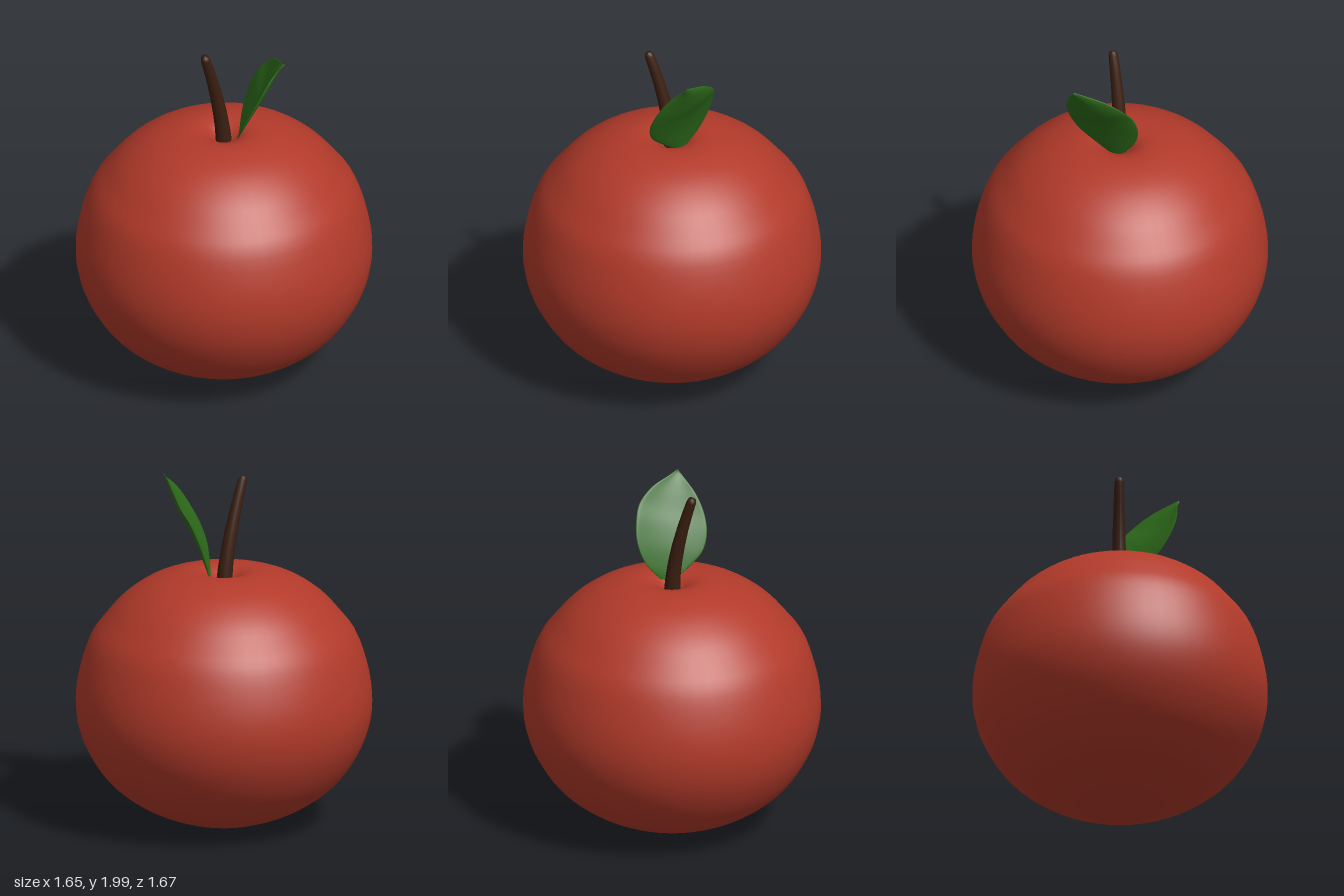
import * as THREE from 'three';
import { ParametricGeometry } from 'three/addons/geometries/ParametricGeometry.js';

const paint = (color) => new THREE.MeshStandardMaterial({ color, roughness: 0.8 });
const part = (name, geometry, color) => {
  const mesh = new THREE.Mesh(geometry, paint(color));
  mesh.name = name;
  return mesh;
};
const spline = (points) => new THREE.CatmullRomCurve3(points.map((p) => new THREE.Vector3(...p)));

// Round fruit body with a shallow dimple on top
function bodyGeometry() {
  const profile = new THREE.SplineCurve([
    [0, 0], [0.2, 0.025], [0.41, 0.1], [0.57, 0.2], [0.68, 0.31], [0.77, 0.46],
    [0.815, 0.6], [0.826, 0.74], [0.803, 0.9], [0.745, 1.08], [0.66, 1.2], [0.56, 1.31],
    [0.43, 1.4], [0.3, 1.45], [0.19, 1.467], [0.11, 1.45], [0.05, 1.41], [0, 1.4],
  ].map(([r, y]) => new THREE.Vector2(r, y)));
  const points = profile.getPoints(54);
  points[0].x = points[54].x = 0;
  return new THREE.LatheGeometry(points, 56).scale(1, 1, 1.01);
}

// Tapered stem, bent forward towards its rounded tip
function stemGeometry() {
  const profile = [[0.046, 0], [0.042, 0.1], [0.039, 0.2], [0.036, 0.3], [0.032, 0.4],
    [0.029, 0.5], [0.026, 0.58], [0.019, 0.6], [0, 0.606]].map(([r, y]) => new THREE.Vector2(r, y));
  const geometry = new THREE.LatheGeometry(profile, 16);
  const pos = geometry.attributes.position;
  for (let i = 0; i < pos.count; i++) {
    const t = pos.getY(i) / 0.606;
    const z = pos.getZ(i);
    pos.setXYZ(i, pos.getX(i) - 0.028 * t, 1.385 + pos.getY(i) - 0.35 * t * z, z + 0.137 * t ** 1.6);
  }
  geometry.computeVertexNormals();
  return geometry;
}

// Cupped leaf: lens-shaped cross-sections swept between its two edges
function leafGeometry() {
  const back = spline([[0.05, 1.42, -0.07], [0.0, 1.53, -0.155], [0.0, 1.66, -0.212],
    [0.05, 1.78, -0.236], [0.11, 1.85, -0.24], [0.2, 1.92, -0.2], [0.29, 1.96, -0.14], [0.35, 1.985, -0.105]]);
  const front = spline([[0.07, 1.42, -0.03], [0.14, 1.49, 0.04], [0.21, 1.57, 0.1],
    [0.26, 1.66, 0.107], [0.3, 1.76, 0.075], [0.324, 1.86, 0.015], [0.336, 1.93, -0.05], [0.357, 1.975, -0.105]]);
  const inner = new THREE.Vector3(-0.66, 0.44, 0.6).normalize();
  const a = new THREE.Vector3();
  const b = new THREE.Vector3();
  return new ParametricGeometry((u, v, target) => {
    back.getPoint(u, a);
    front.getPoint(u, b);
    const angle = v * Math.PI * 2;
    const across = Math.cos(angle);
    const fullness = Math.sin(Math.PI * Math.min(Math.max(u, 0), 1));
    const cup = -0.03 * fullness * (1 - across * across);
    const thickness = (0.002 + 0.012 * fullness) * Math.sin(angle);
    target.lerpVectors(a, b, 0.5 + across / 2).addScaledVector(inner, cup + thickness);
  }, 32, 24);
}

export function createModel() {
  const group = new THREE.Group();
  group.name = 'apple';
  const leaf = part('leaf', leafGeometry(), 0x2d6a1a);
  leaf.material.side = THREE.DoubleSide;
  group.add(
    part('body', bodyGeometry(), 0xb23a2a),
    part('stem', stemGeometry(), 0x3a1e10),
    leaf,
  );
  return group;
}
